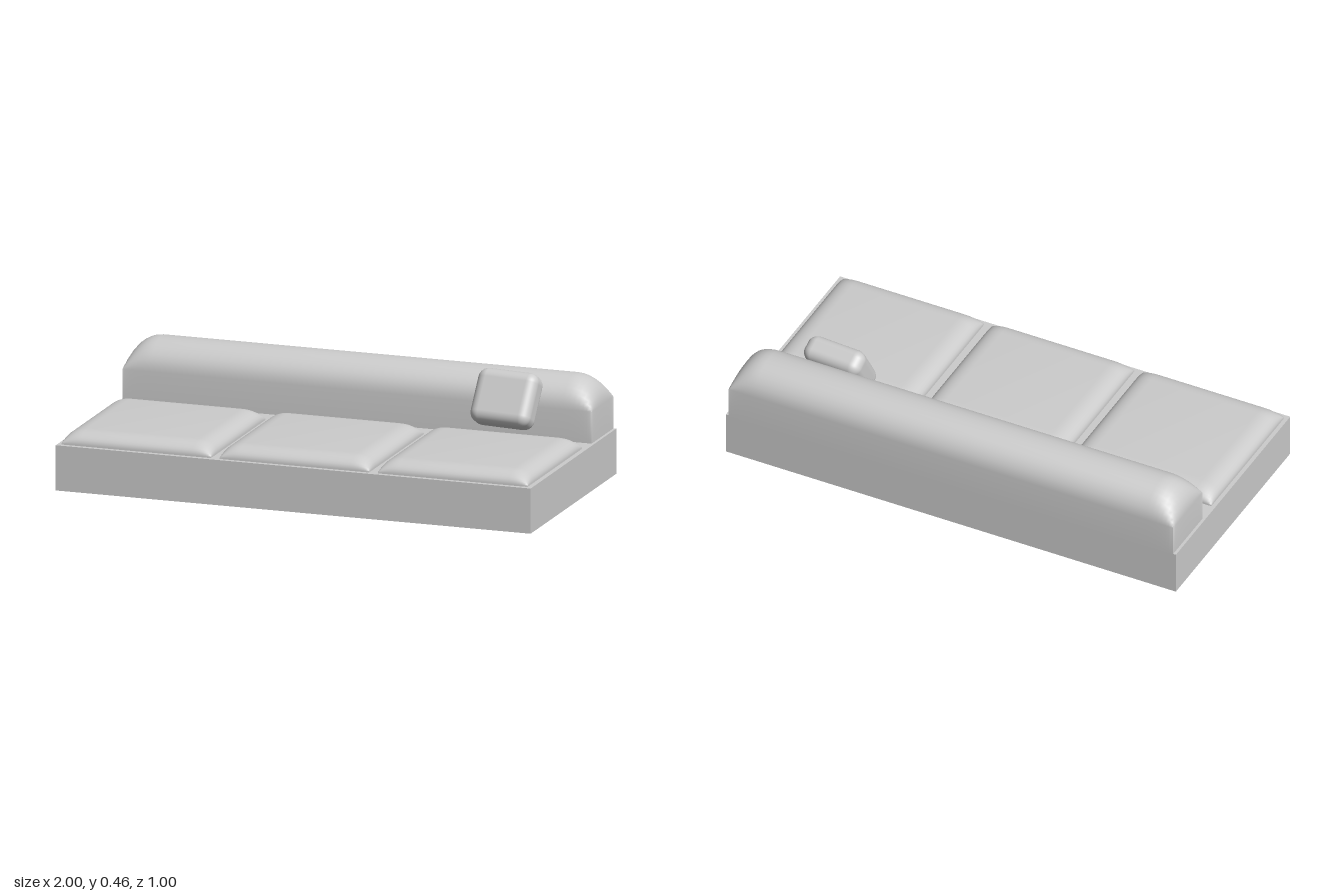
import * as THREE from 'three';
import { toCreasedNormals } from 'three/addons/utils/BufferGeometryUtils.js';
import { RoundedBoxGeometry } from 'three/addons/geometries/RoundedBoxGeometry.js';

const material = new THREE.MeshStandardMaterial({ color: 0xcccccc });
const K = 8; // segments in each rounded edge

function part(name, geometry) {
  const mesh = new THREE.Mesh(geometry, material);
  mesh.name = name;
  return mesh;
}

// Maps a box coordinate (-0.5..0.5) to a position with rounded ends and its relative height
function roundedEdge(v, length, radius) {
  const i = Math.round((v + 0.5) * (2 * K + 1));
  const fromStart = i <= K;
  const t = ((fromStart ? i : 2 * K + 1 - i) / K) * Math.PI / 2;
  const inset = length / 2 - radius * (1 - Math.cos(t));
  return { position: fromStart ? -inset : inset, height: Math.sin(t) };
}

// Upholstered block: straight walls up to `wall`, then a rounded top up to `top`
function padded({ x, z, bottom, wall, top, radiusX, radiusZ }) {
  const geometry = new THREE.BoxGeometry(1, 1, 1, 2 * K + 1, 1, 2 * K + 1);
  const p = geometry.attributes.position;
  for (let i = 0; i < p.count; i++) {
    const a = roundedEdge(p.getX(i), x[1] - x[0], radiusX);
    const b = roundedEdge(p.getZ(i), z[1] - z[0], radiusZ);
    const y = p.getY(i) > 0 ? wall + (top - wall) * a.height * b.height : bottom;
    p.setXYZ(i, (x[0] + x[1]) / 2 + a.position, y, (z[0] + z[1]) / 2 + b.position);
  }
  return toCreasedNormals(geometry, 1);
}

export function createModel() {
  const group = new THREE.Group();
  group.name = 'sofa';

  // Plinth
  const base = part('base', new THREE.BoxGeometry(2, 0.185, 1));
  base.position.y = 0.0925;
  group.add(base);

  // Backrest bolster
  group.add(part('backrest', padded({
    x: [-0.988, 0.988], z: [-0.5, -0.244], bottom: 0.18, wall: 0.315, top: 0.433,
    radiusX: 0.12, radiusZ: 0.127,
  })));

  // Three seat cushions
  for (const [i, cx] of [-0.668, -0.002, 0.665].entries()) {
    group.add(part(`seatCushion${i + 1}`, padded({
      x: [cx - 0.315, cx + 0.315], z: [-0.157, 0.481], bottom: 0.18, wall: 0.19, top: 0.239,
      radiusX: 0.08, radiusZ: 0.08,
    })));
  }

  // Loose pillow leaning on the backrest, thinner towards its rim
  const pillowGeometry = new RoundedBoxGeometry(0.26, 0.225, 0.125, 5, 0.042);
  const p = pillowGeometry.attributes.position;
  for (let i = 0; i < p.count; i++) {
    const u = p.getX(i) / 0.13, v = p.getY(i) / 0.1125;
    p.setZ(i, p.getZ(i) * (1 - 0.12 * u * u) * (1 - 0.12 * v * v));
  }
  const pillow = part('pillow', pillowGeometry);
  pillow.position.set(0.648, 0.35, -0.194);
  pillow.rotation.set(-0.53, -0.06, -0.05);
  group.add(pillow);

  return group;
}
